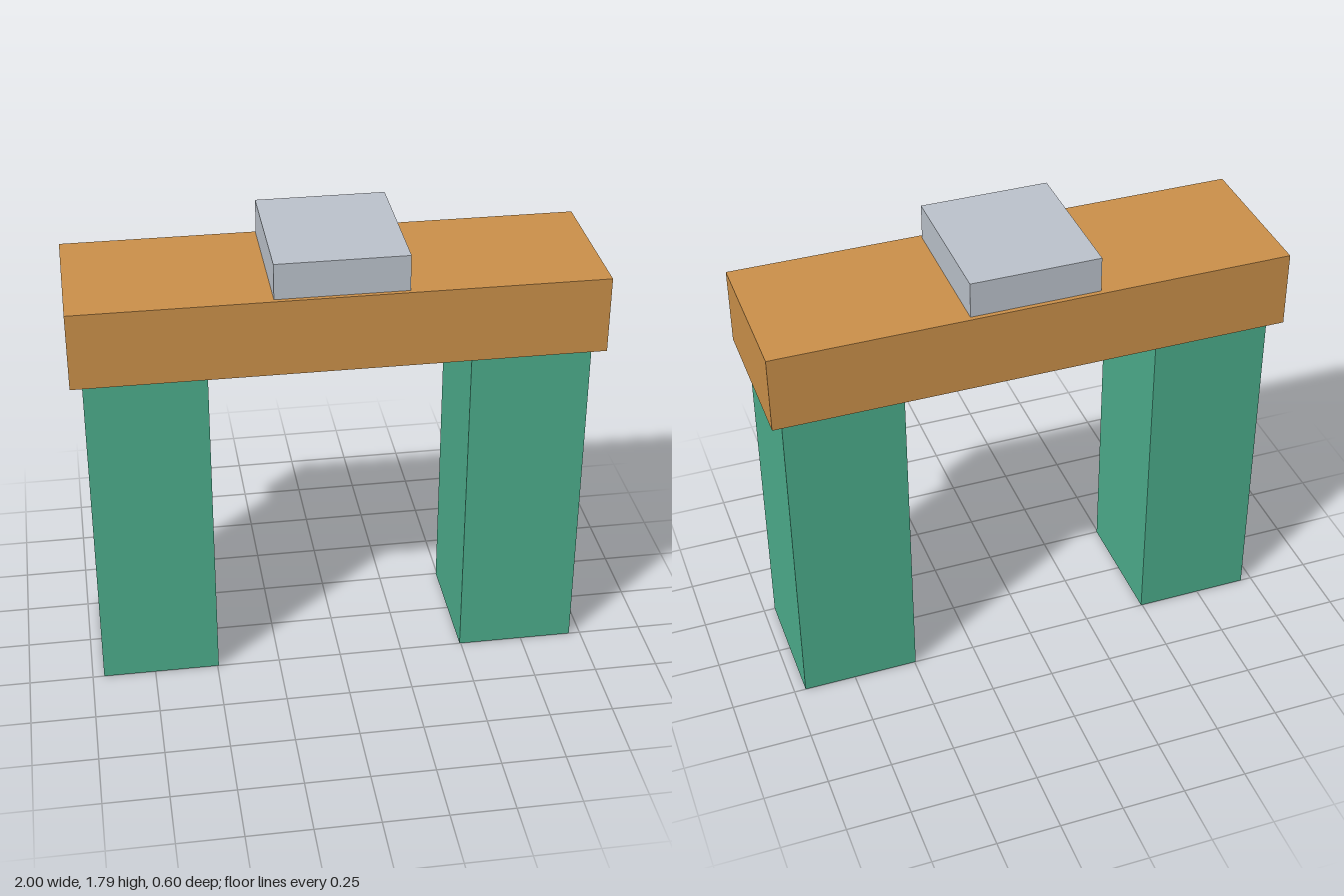
import * as THREE from 'three';

const material = (name, color) => {
  const m = new THREE.MeshStandardMaterial({ color });
  m.name = name;
  return m;
};

export function createModel() {
  const model = new THREE.Group();
  model.name = 'archway';

  const green = material('green', 0x4bab8a);
  const orange = material('orange', 0xc98f49);
  const grey = material('grey', 0xbac1ca);

  // Box standing on height y, centred on z
  const block = (name, mat, [w, h, d], x, y) => {
    const mesh = new THREE.Mesh(new THREE.BoxGeometry(w, h, d), mat);
    mesh.name = name;
    mesh.position.set(x, y + h / 2, 0);
    model.add(mesh);
  };

  // Mirrored pair of pillars
  for (const side of [1, -1]) {
    block(side > 0 ? 'leftPillar' : 'rightPillar', green, [0.46, 1.35, 0.5], side * 0.725, 0);
  }

  // Beam across the pillars, with a capstone on top
  block('lintel', orange, [2, 0.3, 0.6], 0, 1.35);
  block('capstone', grey, [0.5, 0.14, 0.565], 0, 1.65);

  return model;
}
